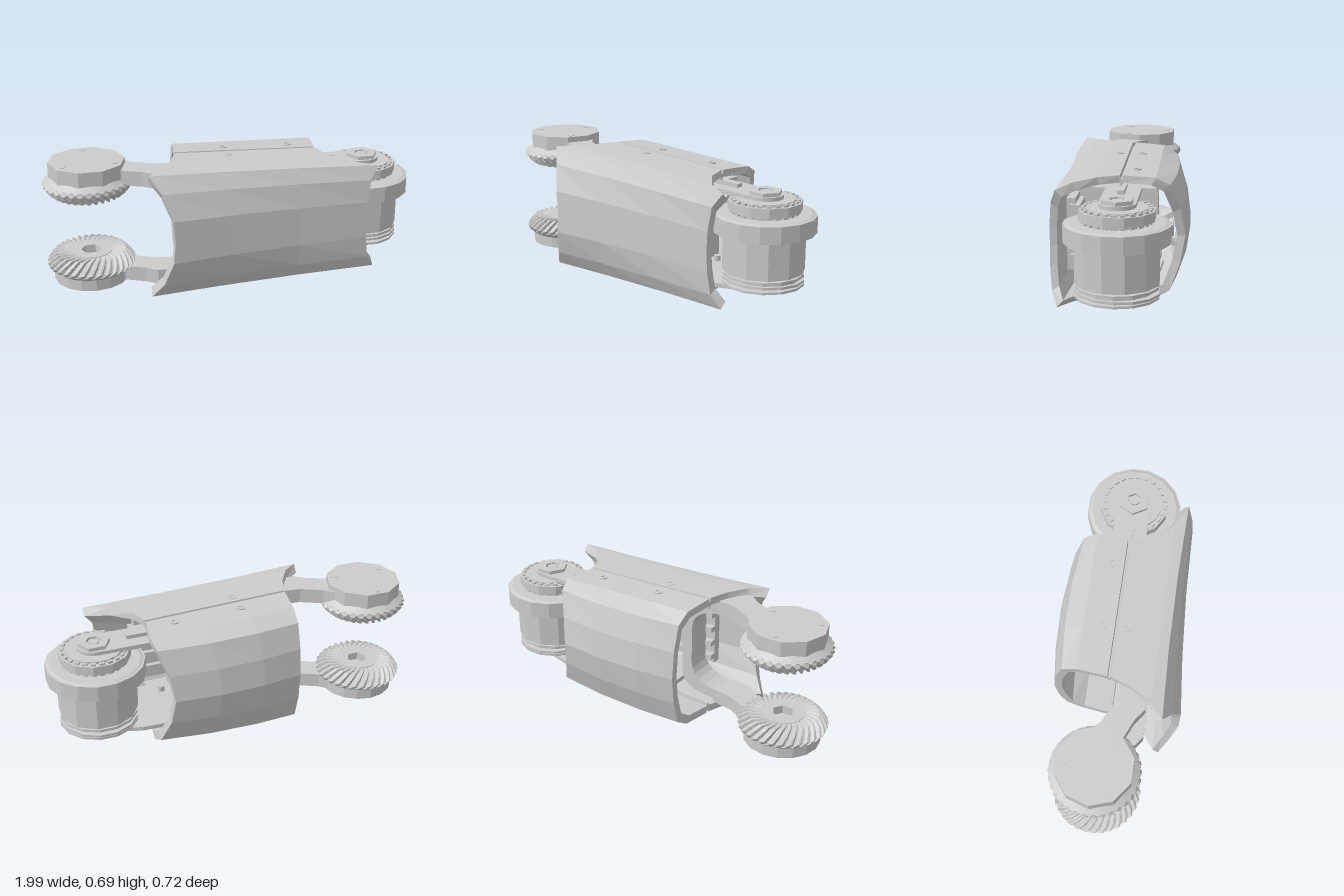
import * as THREE from 'three';

const MID = 0.345; // height of the horizontal symmetry plane
const AXZ = -0.035; // z of both vertical axles
const mat = new THREE.MeshStandardMaterial({ color: 0xcccccc, flatShading: true });

function add(parent, name, geo, x = 0, y = 0, z = 0) {
  const m = new THREE.Mesh(geo, mat);
  m.name = name;
  m.position.set(x, y, z);
  parent.add(m);
  return m;
}

// Faceted surface from a grid of points; front side is du x dv
function grid(nu, nv, point, closeV) {
  const pos = [], idx = [];
  for (let v = 0; v < nv; v++) for (let u = 0; u < nu; u++) pos.push(...point(u, v));
  for (let v = 0; v < (closeV ? nv : nv - 1); v++) {
    for (let u = 0; u < nu; u++) {
      const a = v * nu + u, b = v * nu + (u + 1) % nu;
      const w = ((v + 1) % nv) * nu, c = w + u, d = w + (u + 1) % nu;
      idx.push(a, b, c, b, d, c);
    }
  }
  let g = new THREE.BufferGeometry();
  g.setAttribute('position', new THREE.Float32BufferAttribute(pos, 3));
  g.setIndex(idx);
  g = g.toNonIndexed();
  g.computeVertexNormals();
  return g;
}

const polygon = (r, n, Type = THREE.Path, turn = 0) => new Type(Array.from({ length: n }, (_, i) => {
  const a = turn + i / n * Math.PI * 2;
  return new THREE.Vector2(r * Math.cos(a), r * Math.sin(a));
}));

const outline = (pts) => new THREE.Shape(pts.map(([x, z]) => new THREE.Vector2(x, -z)));

// Horizontal plate: plan outline raised from y = 0 to h
function plate(shape, h) {
  return new THREE.ExtrudeGeometry(shape, { depth: h, bevelEnabled: false, curveSegments: 8 }).rotateX(-Math.PI / 2);
}

function disc(parent, name, r, n, y0, y1, x = 0, z = 0, rTop = r) {
  return add(parent, name, new THREE.CylinderGeometry(rTop, r, y1 - y0, n).rotateY(Math.PI / n), x, (y0 + y1) / 2, z);
}

function ring(parent, name, r, n, hole, holeSides, y0, y1) {
  const s = polygon(r, n, THREE.Shape);
  s.holes.push(polygon(hole, holeSides));
  return add(parent, name, plate(s, y1 - y0), 0, y0, 0);
}

// Sleeve: half profile of [zLeft, zRight, dyLeft, dyRight, xLeft, xRight], front to back
function sleeveGeometry() {
  const half = [
    [0.357, 0.30, 0, 0, -0.375, 0.66], [0.357, 0.30, 0.115, 0.1, -0.385, 0.665],
    [0.315, 0.29, 0.25, 0.22, -0.43, 0.68], [0.265, 0.262, 0.335, 0.29, -0.488, 0.725],
    [0.2, 0.2, 0.341, 0.3, -0.41, 0.6], [0.09, 0.09, 0.343, 0.308, -0.345, 0.5],
    [-0.02, -0.02, 0.343, 0.313, -0.305, 0.465], [-0.023, -0.023, 0.322, 0.292, -0.305, 0.465],
    [-0.033, -0.033, 0.322, 0.292, -0.305, 0.465], [-0.036, -0.036, 0.343, 0.313, -0.305, 0.465],
    [-0.2, -0.2, 0.333, 0.308, -0.285, 0.49], [-0.275, -0.27, 0.285, 0.27, -0.28, 0.475],
    [-0.315, -0.32, 0.15, 0.14, -0.28, 0.43], [-0.33, -0.345, 0, 0, -0.28, 0.41],
  ];
  const loop = half.concat(half.slice(1, -1).reverse().map(([a, b, c, d, e, f]) => [a, b, -c, -d, e, f]));
  const rows = [0, 0.3, 0.65, 1];
  return grid(8, loop.length, (u, v) => {
    const t = u < 4 ? rows[u] : rows[7 - u], k = u < 4 ? 1 : 0.88;
    const p = loop[v], mix = (a, b) => a + (b - a) * t;
    let z = mix(p[0], p[1]);
    if (z < -0.25) z -= 0.026 * Math.sin(Math.PI * t);
    if (z > 0.25) z -= 0.014 * Math.sin(Math.PI * t);
    return [mix(p[4], p[5]), MID + k * mix(p[2], p[3]), k * z];
  }, true);
}

// Spiral bevel teeth, narrowing downwards
function bevelTeeth(hand) {
  const profile = [[0.19, 0.265, 0], [0.222, 0.24, 0.6], [0.222, 0.226, 1], [0.2, 0.195, 1], [0.172, 0.17, 1], [0.14, 0.168, 0.8], [0.1, 0.17, 0]];
  const teeth = 32, shape = [0, 1, 1, 0];
  return grid(teeth * 4, profile.length, (u, v) => {
    const [r, y, h] = profile[v], lift = 0.013 * h * shape[u % 4];
    const a = u / (teeth * 4) * Math.PI * 2 + hand * 0.1 * v;
    return [(r + lift) * Math.cos(a), y - lift * 0.7, (r + lift) * Math.sin(a)];
  }, false);
}

function bevelGear(name, upper) {
  const g = new THREE.Group();
  g.name = name;
  g.position.set(-0.765, MID, AXZ);
  if (!upper) g.rotation.x = Math.PI;
  add(g, 'spiralTeeth', bevelTeeth(upper ? -1 : 1));
  ring(g, 'gearHub', 0.115, 20, 0.055, 6, 0.165, 0.24);
  disc(g, 'hubFloor', 0.1, 16, 0.21, 0.235);
  if (upper) {
    disc(g, 'gearCap', 0.2, 10, 0.26, 0.34);
    for (let i = 0; i < 3; i++) {
      const a = 0.5 + i * Math.PI * 2 / 3;
      disc(g, 'capScrew', 0.02, 6, 0.335, 0.343, 0.155 * Math.cos(a), 0.155 * Math.sin(a));
    }
  } else {
    ring(g, 'gearCollar', 0.2, 16, 0.12, 14, 0.24, 0.318);
    ring(g, 'hexSocket', 0.085, 12, 0.05, 6, 0.235, 0.285);
  }
  return g;
}

function motor() {
  const g = new THREE.Group();
  g.name = 'motor';
  g.position.set(0.742, 0, AXZ);
  disc(g, 'motorBody', 0.207, 12, 0.2, 0.41);
  disc(g, 'motorRim', 0.258, 16, 0.4, 0.487);
  disc(g, 'rimChamfer', 0.25, 16, 0.487, 0.493, 0, 0, 0.235);
  disc(g, 'neck', 0.16, 16, 0.49, 0.515);
  disc(g, 'gearRing', 0.185, 12, 0.508, 0.555);
  disc(g, 'topDisc', 0.15, 16, 0.555, 0.566);
  // Small teeth above and below the gear ring
  for (let i = 0; i < 24; i++) {
    const a = i / 24 * Math.PI * 2;
    const t = add(g, 'ringTooth', new THREE.BoxGeometry(0.016, 0.072, 0.025), 0.163 * Math.cos(a), 0.53, 0.163 * Math.sin(a));
    t.rotation.y = -a;
  }
  ring(g, 'topNut', 0.085, 6, 0.04, 6, 0.58, 0.604);
  disc(g, 'topBolt', 0.028, 8, 0.57, 0.6);
  // Stack of slightly tilted washers
  [[0.205, 0.178, 0.192], [0.19, 0.165, 0.18], [0.207, 0.152, 0.165], [0.207, 0.132, 0.144]].forEach(([r, a, b], i) => {
    disc(g, 'washer', r, 14, a, b).rotation.x = [0, 0.02, -0.03, 0][i];
  });
  disc(g, 'washerCore', 0.17, 12, 0.12, 0.205);
  ring(g, 'bottomNut', 0.07, 6, 0.035, 6, 0.086, 0.115);
  return g;
}

function chassis() {
  const g = new THREE.Group();
  g.name = 'chassis';
  const box = (name, x0, x1, y0, y1, z0, z1) => add(g, name, new THREE.BoxGeometry(x1 - x0, y1 - y0, z1 - z0),
    (x0 + x1) / 2, (y0 + y1) / 2, (z0 + z1) / 2);
  // Motor bracket arms, rounded around the motor axle
  const arm = new THREE.Shape();
  arm.moveTo(0.1, 0.125);
  arm.lineTo(0.742, 0.125);
  arm.absarc(0.742, 0.035, 0.09, Math.PI / 2, -Math.PI / 2, true);
  arm.lineTo(0.1, -0.055);
  add(g, 'upperMotorArm', plate(arm, 0.022), 0, 0.563, 0);
  const wide = outline([[0.1, -0.22], [0.55, -0.2], [0.8, -0.13], [0.83, -0.035], [0.8, 0.06], [0.55, 0.17], [0.1, 0.2]]);
  add(g, 'lowerMotorArm', plate(wide, 0.022), 0, 0.108, 0);
  box('upperTab', 0.4, 0.575, 0.585, 0.605, -0.052, -0.018);
  // Inner frame walls
  box('crossWall', 0.24, 0.3, 0.12, 0.57, -0.2, 0.22);
  box('frontPanel', -0.2, 0.47, 0.17, 0.54, 0.2, 0.245);
  box('topDeck', -0.05, 0.42, 0.565, 0.585, -0.2, 0.22);
  box('bottomDeck', -0.1, 0.42, 0.105, 0.13, -0.2, 0.22);
  // Ribs and blocks on the front panel
  for (let i = 0; i < 4; i++) {
    const y = 0.2 + i * 0.085;
    box('panelBlock', 0.3, 0.5, y, y + 0.055, 0.175, 0.225);
    box('panelRib', -0.2, 0.2, y, y + 0.03, 0.165, 0.2);
  }
  box('sideClip', 0.42, 0.52, 0.34, 0.42, 0.235, 0.262);
  // Diagonal struts towards the back wall
  for (const s of [-1, 1]) {
    const st = box('backStrut', 0.22, 0.28, MID + s * 0.06 - 0.012, MID + s * 0.06 + 0.012, -0.31, -0.18);
    st.rotation.x = s * 0.5;
  }
  // Pegs on the decks
  for (const x of [0.0, 0.1, 0.36]) for (const z of [-0.12, 0.1]) disc(g, 'deckPeg', 0.018, 8, 0.13, 0.16, x, z);
  return g;
}

function yoke() {
  const g = new THREE.Group();
  g.name = 'yoke';
  const plan = outline([[-0.765, -0.14], [-0.6, -0.1], [-0.53, -0.035], [-0.42, 0.02], [-0.3, 0.035],
    [-0.3, 0.17], [-0.38, 0.175], [-0.44, 0.175], [-0.5, 0.13], [-0.6, 0.085], [-0.765, 0.08]]);
  add(g, 'upperGearArm', plate(plan, 0.08), 0, 0.575, 0);
  add(g, 'lowerGearArm', plate(plan, 0.08), 0, 0.035, 0);
  // C-shaped web joining both arms inside the sleeve
  const c = new THREE.Shape();
  c.moveTo(-0.36, 0.64);
  c.lineTo(-0.2, 0.62);
  c.quadraticCurveTo(-0.1, 0.6, -0.1, 0.5);
  c.lineTo(-0.1, 0.19);
  c.quadraticCurveTo(-0.1, 0.09, -0.2, 0.07);
  c.lineTo(-0.36, 0.05);
  c.lineTo(-0.36, 0.11);
  c.quadraticCurveTo(-0.16, 0.12, -0.16, 0.24);
  c.lineTo(-0.16, 0.45);
  c.quadraticCurveTo(-0.16, 0.57, -0.36, 0.58);
  add(g, 'yokeWeb', new THREE.ExtrudeGeometry(c, { depth: 0.14, bevelEnabled: false, curveSegments: 6 }), 0, 0, 0.033);
  return g;
}

export function createModel() {
  const root = new THREE.Group();
  root.name = 'forearmMechanism';
  add(root, 'sleeve', sleeveGeometry());
  // Sleeve screws, top and bottom
  for (const s of [-1, 1]) {
    for (const [x, z] of [[-0.03, -0.095], [0.33, -0.095], [-0.03, 0.025]]) {
      const g = new THREE.Group();
      g.name = 'sleeveScrew';
      g.position.set(x, MID + s * (0.332 - 0.035 * (x + 0.03)), z);
      if (s < 0) g.rotation.x = Math.PI;
      ring(g, 'screwRim', 0.024, 10, 0.014, 6, -0.02, 0.002);
      root.add(g);
    }
  }
  root.add(bevelGear('upperBevelGear', true), bevelGear('lowerBevelGear', false), yoke(), chassis(), motor());
  return root;
}
